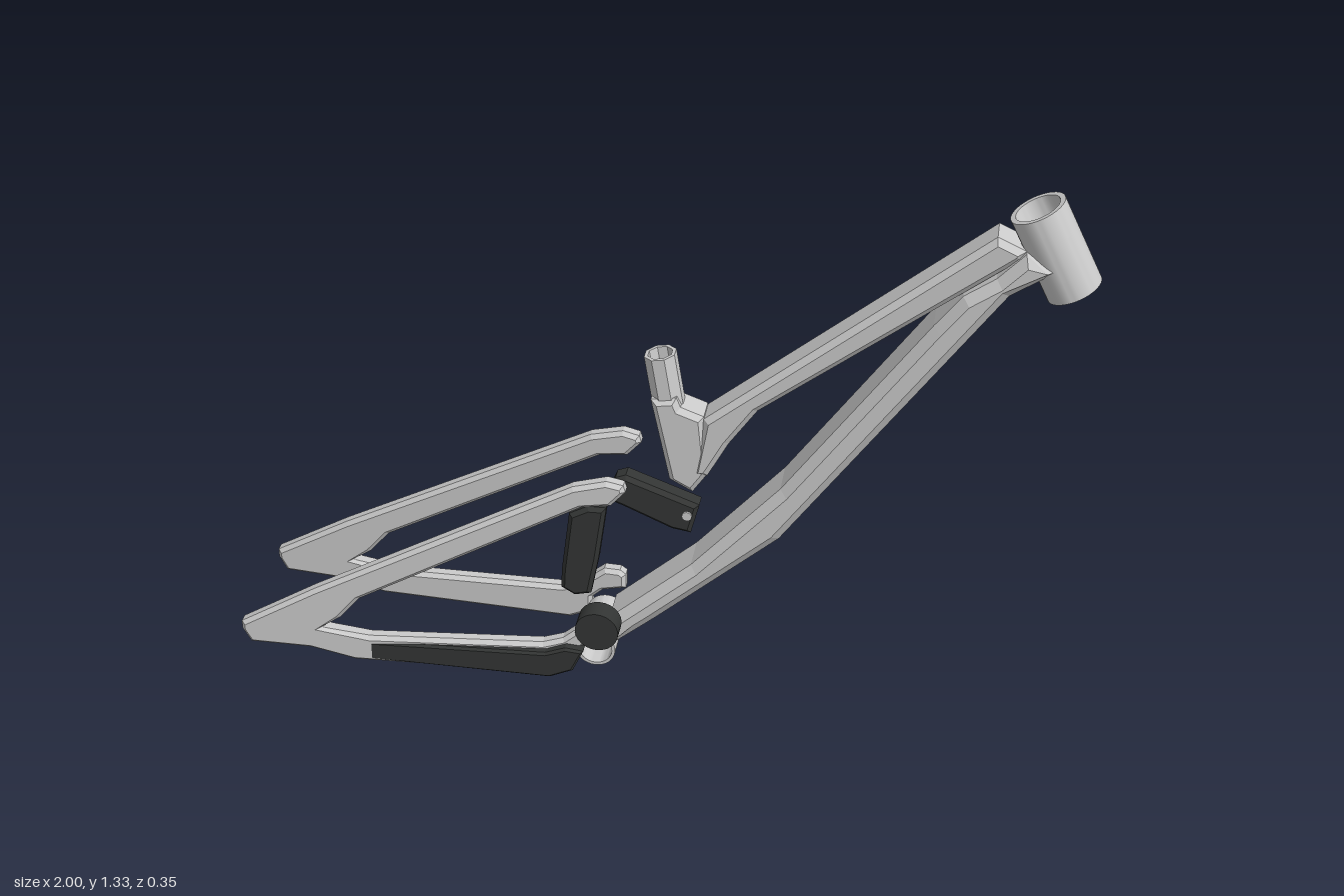
import * as THREE from 'three';
import { toCreasedNormals } from 'three/addons/utils/BufferGeometryUtils.js';

const grey = new THREE.MeshStandardMaterial({ color: 0xcccccc });
const dark = new THREE.MeshStandardMaterial({ color: 0x333534 });

// Chamfered plate: side outline in x/y, running from z0 to z1
function plate(points, z0, z1, chamfer) {
  const shape = new THREE.Shape(points.map(([x, y]) => new THREE.Vector2(x, y)));
  const geo = new THREE.ExtrudeGeometry(shape, {
    depth: z1 - z0 - 2 * chamfer,
    bevelEnabled: true, bevelThickness: chamfer, bevelSize: chamfer,
    bevelOffset: -chamfer, bevelSegments: 1,
  });
  return geo.translate(0, 0, z0 + chamfer);
}

// Open hollow tube between two points
function hollowTube(a, b, outer, inner, sides) {
  const from = new THREE.Vector3(...a), to = new THREE.Vector3(...b);
  const axis = to.clone().sub(from), h = axis.length() / 2;
  const profile = [[outer, -h], [outer, h], [inner, h], [inner, -h], [outer, -h]]
    .map(([r, y]) => new THREE.Vector2(r, y));
  let geo = new THREE.LatheGeometry(profile, sides, Math.PI / sides);
  geo = toCreasedNormals(geo, 0.6);
  geo.applyQuaternion(new THREE.Quaternion().setFromUnitVectors(new THREE.Vector3(0, 1, 0), axis.normalize()));
  const mid = from.add(to).multiplyScalar(0.5);
  return geo.translate(mid.x, mid.y, mid.z);
}

// Solid disc facing z
function disc(x, y, z0, z1, r, sides) {
  const geo = new THREE.CylinderGeometry(r, r, z1 - z0, sides).rotateX(Math.PI / 2);
  return toCreasedNormals(geo.translate(x, y, (z0 + z1) / 2), 0.6);
}

// One side of the rear triangle, splaying outwards towards the axle
function rearStay(side) {
  const outline = [
    // dropout and underside of the lower stay
    [-1, 0.075], [-0.98, 0.037], [-0.83, 0.032], [-0.72, 0.005], [-0.23, 0.005], [-0.172, 0.032],
    // lower pivot
    [-0.172, 0.075], [-0.145, 0.1], [-0.085, 0.115], [-0.085, 0.155], [-0.1, 0.166], [-0.14, 0.166],
    // upper side of the lower stay
    [-0.2, 0.115], [-0.25, 0.098], [-0.68, 0.08], [-0.8, 0.095],
    // underside of the upper stay
    [-0.75, 0.13], [-0.7, 0.19], [-0.15, 0.5], [-0.08, 0.51],
    // upper pivot and top side
    [-0.045, 0.55], [-0.05, 0.568], [-0.09, 0.577], [-0.17, 0.556], [-0.81, 0.21], [-1, 0.097],
  ];
  const thick = 0.042, inner = 0.09;
  const geo = side > 0 ? plate(outline, inner, inner + thick, 0.01)
    : plate(outline, -inner - thick, -inner, 0.01);
  const p = geo.attributes.position;
  for (let i = 0; i < p.count; i++) p.setZ(i, p.getZ(i) + side * 0.048 * (-0.05 - p.getX(i)));
  geo.computeVertexNormals();
  return geo;
}

export function createModel() {
  const frame = new THREE.Group();
  frame.name = 'bicycleFrame';
  const add = (name, geo, mat = grey) => {
    const mesh = new THREE.Mesh(geo, mat);
    mesh.name = name;
    frame.add(mesh);
  };

  // Main triangle
  add('headTube', hollowTube([0.94, 1.115, 0], [0.845, 1.305, 0], 0.064, 0.052, 40));
  add('downTube', plate([
    [-0.1, 0.065], [-0.08, 0.063], [0.01, 0.14], [0.31, 0.41], [0.8, 1.11], [0.91, 1.185],
    [0.83, 1.215], [0.77, 1.15], [0.7, 1.1], [0.64, 1.02], [0.31, 0.55], [0.1, 0.31], [-0.1, 0.13],
  ], -0.07, 0.07, 0.022));
  add('topTube', plate([
    [0.1, 0.56], [0.135, 0.56], [0.185, 0.655], [0.25, 0.75], [0.82, 1.195], [0.83, 1.215],
    [0.765, 1.245], [0.125, 0.715],
  ], -0.048, 0.048, 0.014));

  // Seat mast with open octagonal top
  add('seatMast', plate([
    [0.045, 0.54], [0.1, 0.51], [0.14, 0.57], [0.125, 0.72], [0.07, 0.74], [0.06, 0.765], [0, 0.755],
  ], -0.045, 0.045, 0.013));
  add('seatTube', hollowTube([0.04, 0.72, 0], [0.017, 0.863, 0], 0.039, 0.03, 8));

  // Crank axle shell
  add('crankShell', hollowTube([-0.13, 0.053, -0.08], [-0.13, 0.053, 0.08], 0.049, 0.041, 40));

  // Rear triangle
  add('leftStay', rearStay(1));
  add('rightStay', rearStay(-1));

  // Suspension parts
  add('rockerLink', plate([
    [-0.1, 0.505], [-0.06, 0.49], [0.06, 0.437], [0.105, 0.43], [0.125, 0.51], [-0.05, 0.575], [-0.075, 0.565],
  ], 0.042, 0.096, 0.01), dark);
  add('shockStrut', plate([
    [-0.205, 0.3], [-0.208, 0.245], [-0.175, 0.225], [-0.135, 0.235], [-0.115, 0.34],
    [-0.095, 0.485], [-0.14, 0.485], [-0.185, 0.46],
  ], 0.068, 0.108, 0.01), dark);
  add('pivotCap', disc(-0.115, 0.15, 0.09, 0.142, 0.053, 24), dark);
  add('stayGuard', plate([
    [-0.715, 0.013], [-0.23, 0.013], [-0.172, 0.04], [-0.145, 0.1], [-0.19, 0.105], [-0.24, 0.085], [-0.695, 0.065],
  ], 0.11, 0.162, 0.006), dark);

  // Rocker pivot bolts
  for (const side of [-1, 1]) {
    add(side > 0 ? 'leftPivotBolt' : 'rightPivotBolt',
      disc(0.097, 0.483, side * 0.096 - 0.005, side * 0.096 + 0.005, 0.012, 12));
  }
  return frame;
}
